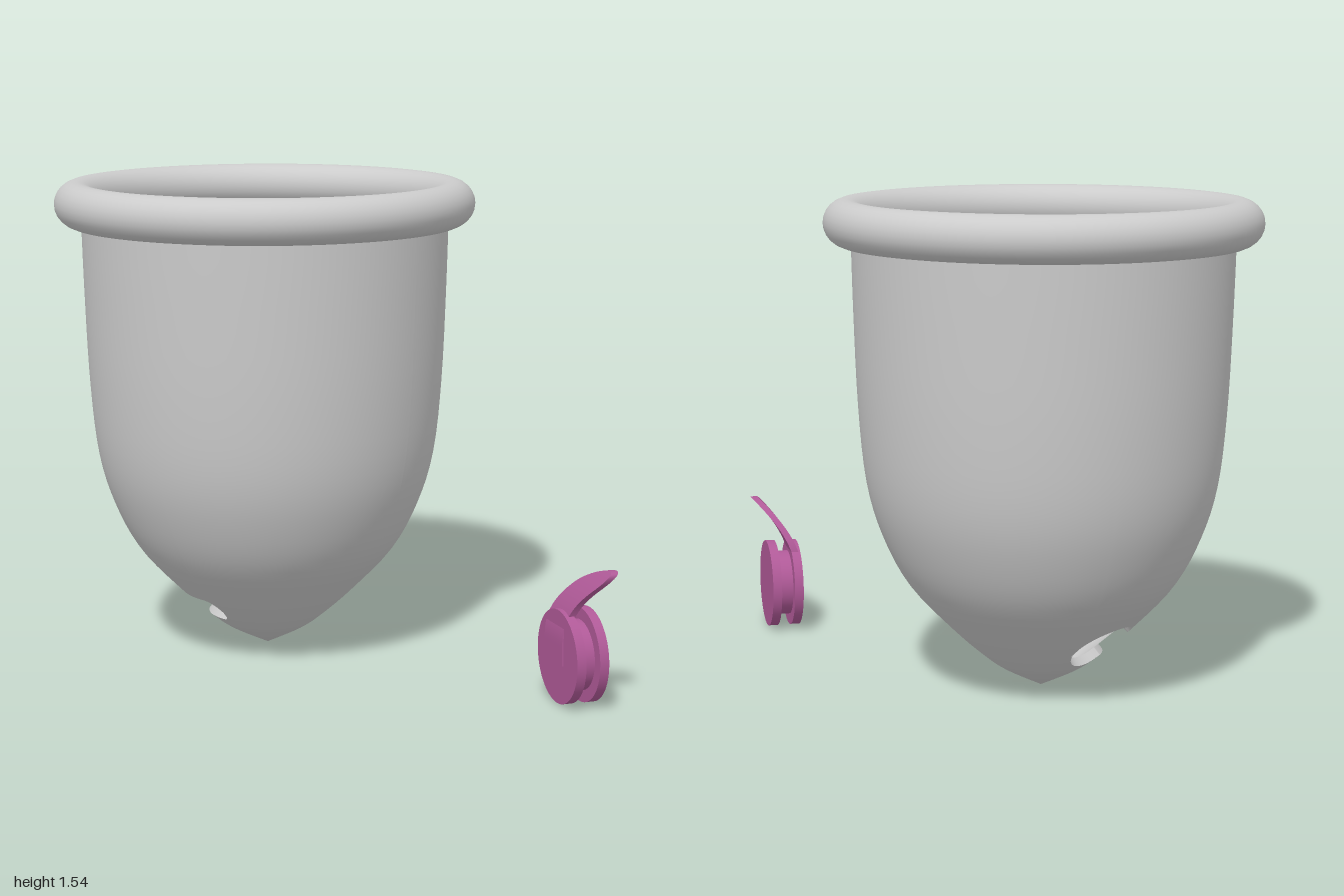
import * as THREE from 'three';

const grey = new THREE.MeshStandardMaterial({ color: 0xcccccc, side: THREE.DoubleSide });
const pink = new THREE.MeshStandardMaterial({ color: 0xb05a98 });

// Outer wall profile (radius, height), from the tip to the rim
const profile = [[0, 0], [0.12, 0.06], [0.19, 0.11], [0.29, 0.2], [0.42, 0.34],
  [0.5, 0.49], [0.55, 0.66], [0.575, 0.9], [0.588, 1.2], [0.595, 1.46]];
const spline = new THREE.SplineCurve(profile.map(([r, y]) => new THREE.Vector2(r, y)));
const LAST = profile.length - 1;
const WALL = 0.03;
const CUT = 2.5; // profile position of the drain opening's middle

function named(mesh, name) {
  mesh.name = name;
  return mesh;
}

// Grid surface from a function of a and b, each 0..1
function sheet(f, na, nb) {
  const pos = [], index = [];
  for (let i = 0; i <= na; i++) {
    for (let j = 0; j <= nb; j++) {
      pos.push(...f(i / na, j / nb));
      if (i < na && j < nb) {
        const p = i * (nb + 1) + j, q = p + nb + 1;
        index.push(p, p + 1, q, q, p + 1, q + 1);
      }
    }
  }
  const g = new THREE.BufferGeometry();
  g.setAttribute('position', new THREE.Float32BufferAttribute(pos, 3));
  g.setIndex(index);
  g.computeVertexNormals();
  return g;
}

// Point on the wall: s along the profile, phi around (0 = right, PI/2 = front), inset inwards
function wallPoint(s, phi, inset) {
  const u = Math.min(1, Math.max(0, s / LAST));
  const p = spline.getPoint(u), t = spline.getTangent(u);
  const r = Math.max(0, p.x - t.y * inset);
  return [-r * Math.cos(phi), p.y + t.x * inset, r * Math.sin(phi)];
}

// Half height of the round drain hole, and of the outer recess that runs to the front
function holeHalf(phi) {
  return 0.8 * Math.sqrt(Math.max(0, 1 - (phi / 0.45) ** 2));
}
function recessHalf(phi) {
  if (phi < 0 || phi > 1.57) return holeHalf(phi);
  const end = Math.max(0, (phi - 1.4) / 0.17);
  return Math.max(holeHalf(phi), 0.45 * Math.sqrt(Math.max(0, 1 - end * end)));
}

function buildCup() {
  const cup = new THREE.Group();
  cup.name = 'cup';
  cup.position.x = -0.32;
  const add = (name, f, na, nb) => cup.add(named(new THREE.Mesh(sheet(f, na, nb), grey), name));
  const around = (a) => (a * 2 - 1) * Math.PI;

  // Each skin is split above and below the opening
  for (const [label, inset, half] of [['outer', 0, recessHalf], ['inner', WALL, holeHalf]]) {
    add(label + 'Tip', (a, b) => {
      const phi = around(a);
      return wallPoint(b * (CUT - half(phi)), phi, inset);
    }, 256, 12);
    add(label + 'Wall', (a, b) => {
      const phi = around(a), from = CUT + half(phi);
      return wallPoint(from + b * (LAST - from), phi, inset);
    }, 256, 26);
  }

  // Cut edges through the wall
  for (const [name, side] of [['lowerCutEdge', -1], ['upperCutEdge', 1]]) {
    add(name, (a, b) => {
      const phi = -0.45 + a * 2.02;
      return wallPoint(CUT + side * recessHalf(phi), phi, b * WALL);
    }, 96, 1);
  }

  // Rolled rim
  const rim = named(new THREE.Mesh(new THREE.TorusGeometry(0.608, 0.072, 24, 96), grey), 'rim');
  rim.rotation.x = Math.PI / 2;
  rim.position.y = 1.473;
  cup.add(rim);
  return cup;
}

function buildPlug() {
  const plug = new THREE.Group();
  plug.name = 'plug';
  plug.position.set(0.835, 0.15, 0.03);
  plug.rotation.y = -0.61;

  // Two flanges joined by a neck
  for (const [name, radius, depth, z] of [['frontFlange', 0.147, 0.03, 0],
    ['neck', 0.11, 0.06, -0.037], ['backFlange', 0.148, 0.03, -0.075]]) {
    const disc = named(new THREE.Mesh(new THREE.CylinderGeometry(radius, radius, depth, 64), pink), name);
    disc.rotation.x = Math.PI / 2;
    disc.position.z = z;
    plug.add(disc);
  }

  // Pull tab: a strip leaning sideways, bent backwards, with a rounded end
  const tab = new THREE.BoxGeometry(1, 1, 0.024, 10, 40, 1);
  const p = tab.attributes.position;
  for (let i = 0; i < p.count; i++) {
    const v = p.getY(i) + 0.5;
    const y = -0.02 + 0.305 * Math.sin(v * Math.PI / 2);
    const end = Math.max(0, (y - 0.225) / 0.06);
    const half = 0.065 * Math.sqrt(Math.max(0, 1 - end * end));
    const lean = 3.5 * Math.max(0, y - 0.09) ** 2 - 0.02;
    const bend = 2.2 * Math.max(0, y - 0.05) ** 2;
    p.setXYZ(i, lean + p.getX(i) * 2 * half, y, p.getZ(i) + 0.008 - bend);
  }
  tab.computeVertexNormals();
  plug.add(named(new THREE.Mesh(tab, pink), 'pullTab'));
  return plug;
}

export function createModel() {
  const model = new THREE.Group();
  model.name = 'cupWithPlug';
  model.add(buildCup(), buildPlug());
  return model;
}
